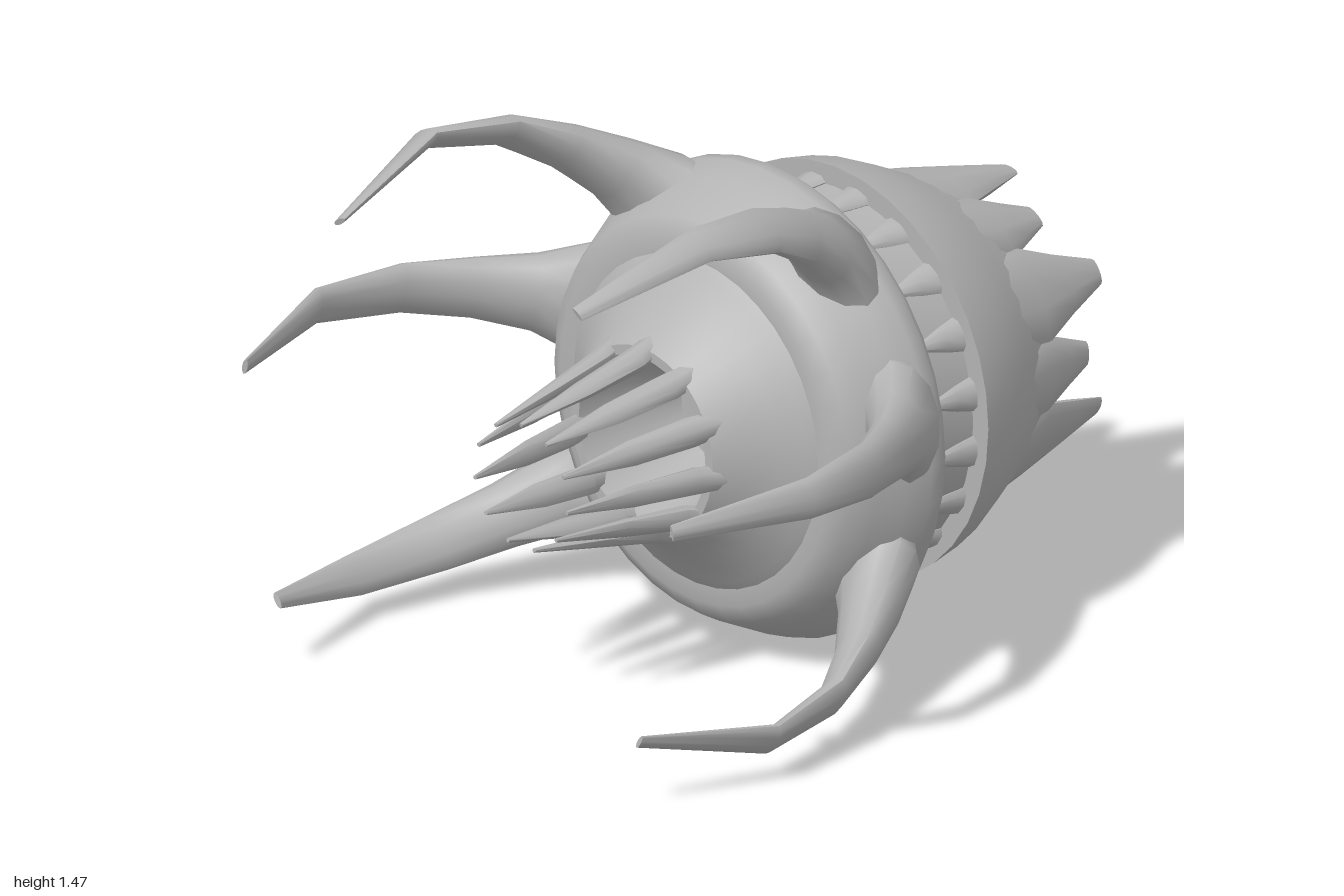
import * as THREE from 'three';
import { toCreasedNormals } from 'three/addons/utils/BufferGeometryUtils.js';

const hull = new THREE.MeshStandardMaterial({ color: 0xb3b3b3, side: THREE.DoubleSide });
hull.name = 'hullGrey';

// Turned part around the z axis; profile rows are [radius, z]
function turned(name, profile, crease = 0.7) {
  const g = new THREE.LatheGeometry(profile.map(([r, z]) => new THREE.Vector2(r, z)), 36);
  g.rotateX(Math.PI / 2);
  const mesh = new THREE.Mesh(toCreasedNormals(g, crease), hull);
  mesh.name = name;
  return mesh;
}

// Elliptical loft in the radial plane; rows are [radius, z, halfWidth, halfThickness]
function spikeGeometry(rows, sides = 10) {
  const pos = [], index = [];
  const first = rows[0], last = rows[rows.length - 1];
  const rings = [[first[0], first[1], 0, 0], ...rows, [last[0], last[1], 0, 0]];
  rings.forEach(([r, z, w, t], i) => {
    const k = Math.min(Math.max(i - 1, 0), rows.length - 1);
    const p = rows[Math.max(k - 1, 0)], q = rows[Math.min(k + 1, rows.length - 1)];
    const len = Math.hypot(q[0] - p[0], q[1] - p[1]);
    const tr = (q[0] - p[0]) / len, tz = (q[1] - p[1]) / len;
    for (let j = 0; j < sides; j++) {
      const a = (j / sides) * Math.PI * 2, s = t * Math.sin(a);
      pos.push(w * Math.cos(a), r + s * tz, z - s * tr);
    }
  });
  for (let i = 0; i < rings.length - 1; i++) {
    for (let j = 0; j < sides; j++) {
      const n = (j + 1) % sides;
      const a = i * sides + j, b = i * sides + n, c = b + sides, d = a + sides;
      index.push(a, b, c, a, c, d);
    }
  }
  const g = new THREE.BufferGeometry();
  g.setAttribute('position', new THREE.Float32BufferAttribute(pos, 3));
  g.setIndex(index);
  return toCreasedNormals(g, 0.9);
}

// Place copies at angles measured clockwise from the top, in degrees
function around(parent, name, geometry, angles) {
  for (const a of angles) {
    const mesh = new THREE.Mesh(geometry, hull);
    mesh.name = name;
    mesh.rotation.z = -THREE.MathUtils.degToRad(a);
    parent.add(mesh);
  }
}

const spread = (count, offset = 0) =>
  Array.from({ length: count }, (_, i) => offset + (i * 360) / count);

export function createModel() {
  const model = new THREE.Group();
  model.name = 'clawedPod';
  const body = new THREE.Group();
  body.name = 'body';
  body.position.y = 0.65;
  model.add(body);

  // Wide collar that carries the claws
  body.add(turned('collar', [
    [0.48, -0.16], [0.625, -0.16], [0.648, -0.13], [0.648, -0.09], [0.62, -0.02],
    [0.585, 0.05], [0.55, 0.11], [0.5, 0.14], [0.42, 0.13],
  ]));

  // Front funnel with a closed throat
  body.add(turned('frontFunnel', [
    [0.47, 0.12], [0.43, 0.155], [0.37, 0.2], [0.31, 0.265], [0.262, 0.33],
    [0.235, 0.33], [0.2, 0.2], [0.14, 0.05], [0, 0.04],
  ]));

  // Recessed neck
  body.add(turned('neck', [[0.515, -0.38], [0.5, -0.27], [0.51, -0.15]]));

  // Hollow rear shell, from its throat out over the rim
  body.add(turned('rearShell', [
    [0, -0.1], [0.17, -0.14], [0.29, -0.28], [0.36, -0.48], [0.37, -0.73],
    [0.425, -0.73], [0.49, -0.6], [0.55, -0.47], [0.57, -0.37], [0.49, -0.37],
  ]));

  // Six long hooked claws
  const claw = spikeGeometry([
    [0.52, -0.06, 0.23, 0.095], [0.61, -0.03, 0.16, 0.1], [0.69, 0.06, 0.11, 0.08],
    [0.79, 0.19, 0.088, 0.055], [0.885, 0.36, 0.075, 0.035],
    [0.935, 0.62, 0.055, 0.024], [0.81, 0.997, 0.022, 0.008],
  ], 12);
  around(body, 'claw', claw, [33, 78, 124, -33, -78, -124]);

  // Slim teeth around the front mouth
  const frontTooth = spikeGeometry([
    [0.27, 0.25, 0.03, 0.03], [0.235, 0.36, 0.04, 0.03],
    [0.205, 0.55, 0.034, 0.02], [0.172, 0.77, 0.006, 0.006],
  ], 8);
  around(body, 'frontTooth', frontTooth, spread(11));

  // Long and short teeth alternating around the rear rim
  const longTooth = spikeGeometry([
    [0.45, -0.56, 0.12, 0.04], [0.4, -0.73, 0.14, 0.048],
    [0.387, -0.87, 0.082, 0.035], [0.378, -1, 0.035, 0.012],
  ]);
  const shortTooth = spikeGeometry([
    [0.45, -0.56, 0.11, 0.04], [0.4, -0.72, 0.115, 0.048],
    [0.385, -0.82, 0.072, 0.035], [0.38, -0.91, 0.035, 0.012],
  ]);
  around(body, 'longRearTooth', longTooth, spread(6));
  around(body, 'shortRearTooth', shortTooth, spread(6, 30));

  // Small ruffle under the front lip of the rear shell
  const ruffle = spikeGeometry([
    [0.515, -0.385, 0.05, 0.025], [0.508, -0.32, 0.035, 0.018], [0.497, -0.22, 0.004, 0.004],
  ], 8);
  around(body, 'neckRuffle', ruffle, spread(20, 9));

  return model;
}
